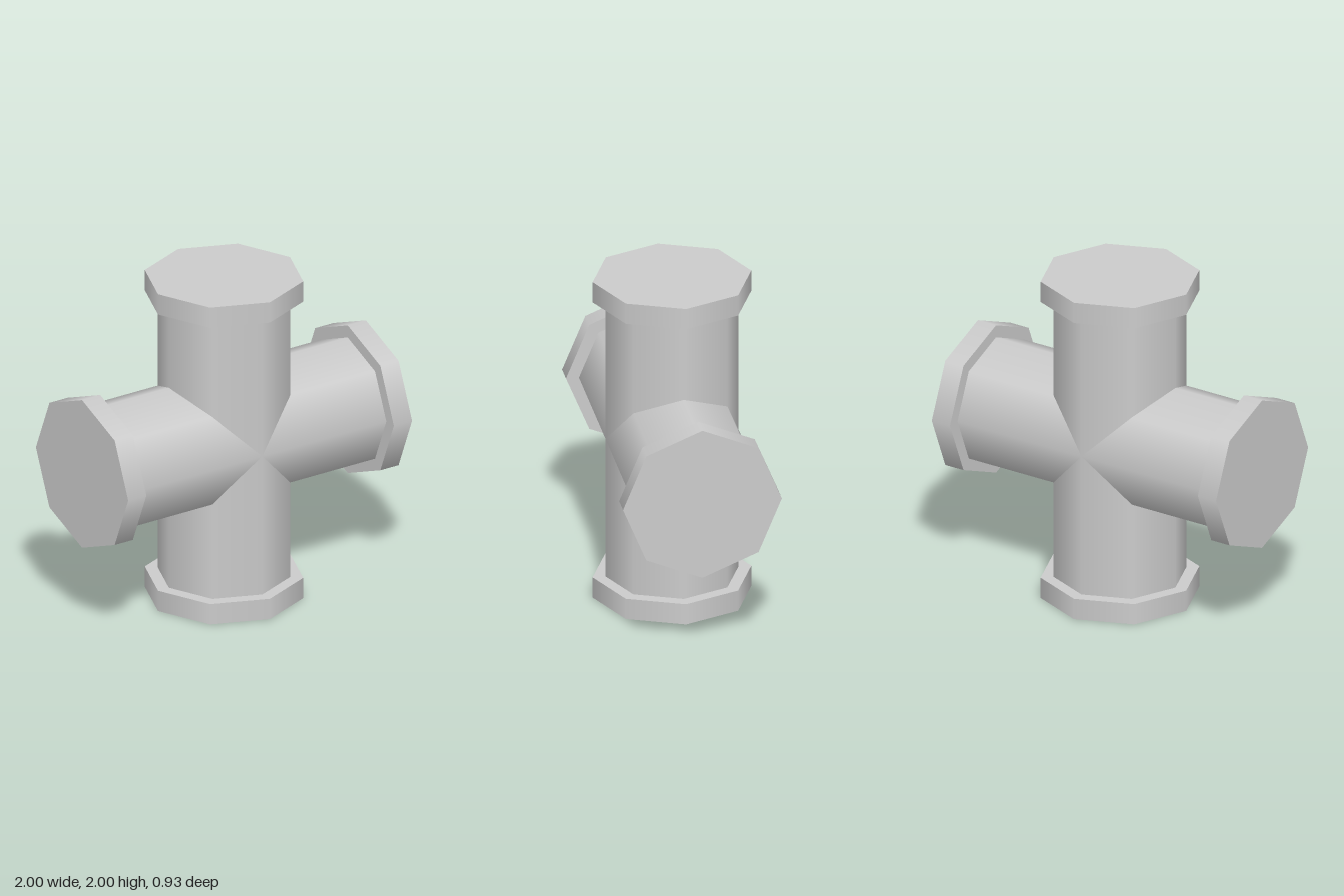
import * as THREE from 'three';
import { mergeGeometries } from 'three/addons/utils/BufferGeometryUtils.js';

const SIDES = 8;
const PIPE_R = 0.39;
const FLANGE_R = 0.466;
const FLANGE_H = 0.128;
const REACH = 1; // centre of the cross to the end of each arm

// Octagonal pipe along +y whose inner end is mitred to meet its neighbours
function pipeGeometry() {
  const top = REACH - FLANGE_H;
  const geo = new THREE.CylinderGeometry(PIPE_R, PIPE_R, top, SIDES, 1, true);
  geo.translate(0, top / 2, 0);
  const pos = geo.attributes.position;
  for (let i = 0; i < pos.count; i++) {
    if (pos.getY(i) < top / 2) pos.setY(i, Math.abs(pos.getX(i)));
  }
  return geo;
}

// Collar with a closed outer end and a ring-shaped shoulder around the pipe
function flangeGeometry() {
  const rim = new THREE.CylinderGeometry(FLANGE_R, FLANGE_R, FLANGE_H, SIDES, 1, true);
  rim.translate(0, REACH - FLANGE_H / 2, 0);
  const cap = new THREE.CircleGeometry(FLANGE_R, SIDES);
  cap.rotateX(-Math.PI / 2).translate(0, REACH, 0);
  const shoulder = new THREE.RingGeometry(PIPE_R, FLANGE_R, SIDES);
  shoulder.rotateX(Math.PI / 2).translate(0, REACH - FLANGE_H, 0);
  return mergeGeometries([rim, cap, shoulder]);
}

export function createModel() {
  const model = new THREE.Group();
  model.name = 'pipeCross';
  const material = new THREE.MeshStandardMaterial({ color: 0xcccccc });
  const pipeGeo = pipeGeometry();
  const flangeGeo = flangeGeometry();

  // Four identical arms turned about the centre
  ['top', 'left', 'bottom', 'right'].forEach((side, i) => {
    const arm = new THREE.Group();
    arm.name = side + 'Arm';
    const pipe = new THREE.Mesh(pipeGeo, material);
    pipe.name = side + 'Pipe';
    const flange = new THREE.Mesh(flangeGeo, material);
    flange.name = side + 'Flange';
    arm.add(pipe, flange);
    arm.position.y = REACH;
    arm.rotation.z = -i * Math.PI / 2;
    model.add(arm);
  });
  return model;
}
